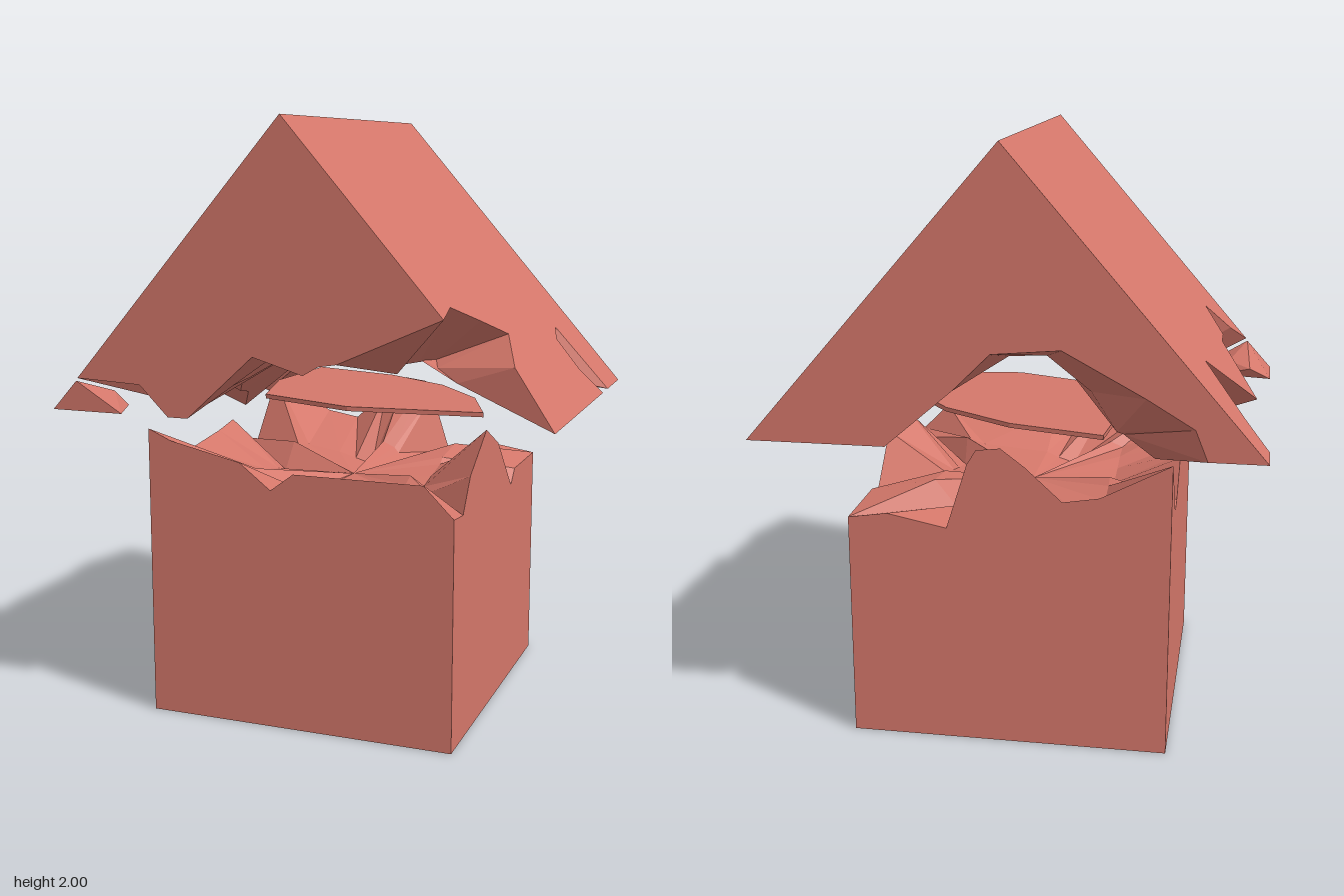
import * as THREE from 'three';
import { ConvexGeometry } from 'three/addons/geometries/ConvexGeometry.js';

const V = (x, y, z) => new THREE.Vector3(x, y, z);
const H = 0.53;      // half width of the block
const D = 0.635;     // half depth of the roof
const slopeY = (x) => 2 - 1.1515 * Math.abs(x);

function soup(points) {
  const g = new THREE.BufferGeometry().setFromPoints(points);
  g.computeVertexNormals();
  return g;
}

// Flat polygon, turned so that it faces the outward direction
function face(pts, out) {
  const a = [Math.abs(out.x), Math.abs(out.y), Math.abs(out.z)];
  const drop = a.indexOf(Math.max(...a));
  const flat = pts.map((p) => drop === 0 ? new THREE.Vector2(p.y, p.z)
    : drop === 1 ? new THREE.Vector2(p.x, p.z) : new THREE.Vector2(p.x, p.y));
  const tris = [];
  for (const [i, j, k] of THREE.ShapeUtils.triangulateShape(flat, [])) {
    const n = pts[j].clone().sub(pts[i]).cross(pts[k].clone().sub(pts[i]));
    if (n.dot(out) >= 0) tris.push(pts[i], pts[j], pts[k]);
    else tris.push(pts[i], pts[k], pts[j]);
  }
  return soup(tris);
}

// Jagged broken surface: rim loop, an inner ring and a centre point
function broken(loop, innerPoint, centre, up) {
  const inner = loop.map(innerPoint), tris = [];
  const add = (a, b, c) => up ? tris.push(a, b, c) : tris.push(a, c, b);
  loop.forEach((p, i) => {
    const j = (i + 1) % loop.length;
    add(p, loop[j], inner[j]);
    add(p, inner[j], inner[i]);
    add(inner[i], inner[j], centre);
  });
  return soup(tris);
}

// Joins side outlines that share their end points into one loop
const joinSides = (sides) => sides.flatMap((s) => s.slice(0, -1));
// Repeating rough offset, 0 to 1
const rough = (i) => ((i * 37 + 11) % 17) / 17;

export function createModel() {
  const group = new THREE.Group();
  const mat = new THREE.MeshStandardMaterial({ color: 0xd4776a, flatShading: true, side: THREE.DoubleSide });
  const add = (name, geo, parent) => {
    const m = new THREE.Mesh(geo, mat);
    m.name = name;
    parent.add(m);
  };

  // Block with a broken top; each wall lists its rim, going round
  const block = new THREE.Group();
  block.name = 'block';
  const front = [[-H, 0.985], [-0.45, 0.95], [-0.2, 0.895], [-0.09, 0.81], [-0.01, 0.87], [0.43, 0.87], [H, 0.77]]
    .map(([x, y]) => V(x, y, H));
  const right = [[H, 0.77], [0.43, 0.76], [0.35, 0.87], [0.16, 0.985], [0, 0.91], [-0.19, 0.72], [-0.24, 0.77], [-H, 0.77]]
    .map(([z, y]) => V(H, y, z));
  const back = [[H, 0.77], [0.4, 0.79], [0.2, 0.75], [0.13, 0.97], [0.1, 1.02], [0.02, 1.03], [-0.06, 0.97],
    [-0.18, 0.86], [-0.3, 0.88], [-H, 1.0]].map(([x, y]) => V(x, y, -H));
  const left = [[-H, 1.0], [-0.34, 0.78], [-0.27, 0.8], [-0.12, 0.9], [0, 0.88], [0.2, 0.86], [0.35, 0.9], [H, 0.985]]
    .map(([z, y]) => V(-H, y, z));
  const walls = { frontWall: [front, V(0, 0, 1)], rightWall: [right, V(1, 0, 0)],
    backWall: [back, V(0, 0, -1)], leftWall: [left, V(-1, 0, 0)] };
  for (const [name, [rim, out]] of Object.entries(walls)) {
    const a = rim[0], b = rim[rim.length - 1];
    add(name, face([...rim, V(b.x, 0, b.z), V(a.x, 0, a.z)], out), block);
  }
  add('blockUnderside', face([V(-H, 0, -H), V(H, 0, -H), V(H, 0, H), V(-H, 0, H)], V(0, -1, 0)), block);
  add('brokenTop', broken(joinSides([front, right, back, left]),
    (p, i) => V(p.x * 0.55, 0.73 + 0.11 * rough(i), p.z * 0.55), V(0, 0.76, 0), true), block);
  group.add(block);

  // Roof with broken eaves and a hollow underside
  const roof = new THREE.Group();
  roof.name = 'roof';
  const gableFront = [[-0.73, slopeY(0.73)], [-0.5, 1.15], [-0.4, 1.05], [-0.33, 1.05], [-0.1, 1.26], [0.07, 1.21],
    [0.12, 1.24], [0.18, 1.25], [0.52, slopeY(0.52)]].map(([x, y]) => V(x, y, D));
  const gableBack = [[0.825, 1.05], [0.37, 1.05], [0.15, 1.24], [0.03, 1.36], [-0.19, 1.38], [-0.45, 1.24],
    [-0.6, 1.15], [-0.64, 1.05], [-0.825, 1.05]].map(([x, y]) => V(x, y, -D));
  const onSlope = ([x, z]) => V(x, slopeY(x), z);
  const slopeRight = [[0.52, D], [0.5, 0.5], [0.55, 0.33], [0.6, 0.17], [0.67, 0.36], [0.825, 0.47], [0.825, -0.32],
    [0.75, -0.27], [0.66, -0.29], [0.635, -0.385], [0.825, -0.415], [0.825, -D]].map(onSlope);
  const slopeLeft = [[-0.825, -D], [-0.825, -0.5], [-0.75, -0.46], [-0.61, -0.34], [-0.78, -0.06], [-0.65, 0.16],
    [-0.65, 0.27], [-0.58, 0.38], [-0.67, 0.5], [-0.73, D]].map(onSlope);
  const ridgeFront = V(0, 2, D), ridgeBack = V(0, 2, -D);
  add('frontGable', face([...gableFront, ridgeFront], V(0, 0, 1)), roof);
  add('backGable', face([...gableBack, ridgeBack], V(0, 0, -1)), roof);
  add('rightSlope', face([...slopeRight, ridgeBack, ridgeFront], V(1, 0.87, 0)), roof);
  add('leftSlope', face([...slopeLeft, ridgeFront, ridgeBack], V(-1, 0.87, 0)), roof);
  const vault = (x) => Math.min(1.26, x > 0 ? 1.25 - 0.57 * (x - 0.18) : 1.26 + 0.87 * (x + 0.1));
  add('brokenUnderside', broken(joinSides([gableFront, slopeRight, gableBack, slopeLeft]),
    (p, i) => V(p.x * 0.56, vault(p.x * 0.56) + 0.07 * rough(i), p.z * 0.6), V(0, 1.32, 0), false), roof);

  // Loose chip at the front corner of the eaves
  add('eaveChip', new ConvexGeometry([V(-0.825, 1.05, D), V(-0.735, 1.15, D), V(-0.57, 1.05, D), V(-0.825, 1.05, 0.44),
    V(-0.75, 1.09, 0.42), V(-0.67, 1.1, 0.5), V(-0.63, 1.05, 0.48)]), roof);

  // Thin remains of the ceiling
  const plate = new THREE.Shape([[0.55, 0.28], [0.1, 0.33], [-0.25, 0.2], [-0.33, -0.1], [-0.3, -0.45], [0.02, -0.36],
    [0.27, -0.2], [0.45, 0.02]].map(([x, z]) => new THREE.Vector2(x, -z)));
  const plateGeo = new THREE.ExtrudeGeometry(plate, { depth: 0.015, bevelEnabled: false });
  plateGeo.rotateX(-Math.PI / 2).translate(0, 1.05, 0);
  add('ceilingSheet', plateGeo, roof);
  group.add(roof);

  return group;
}
